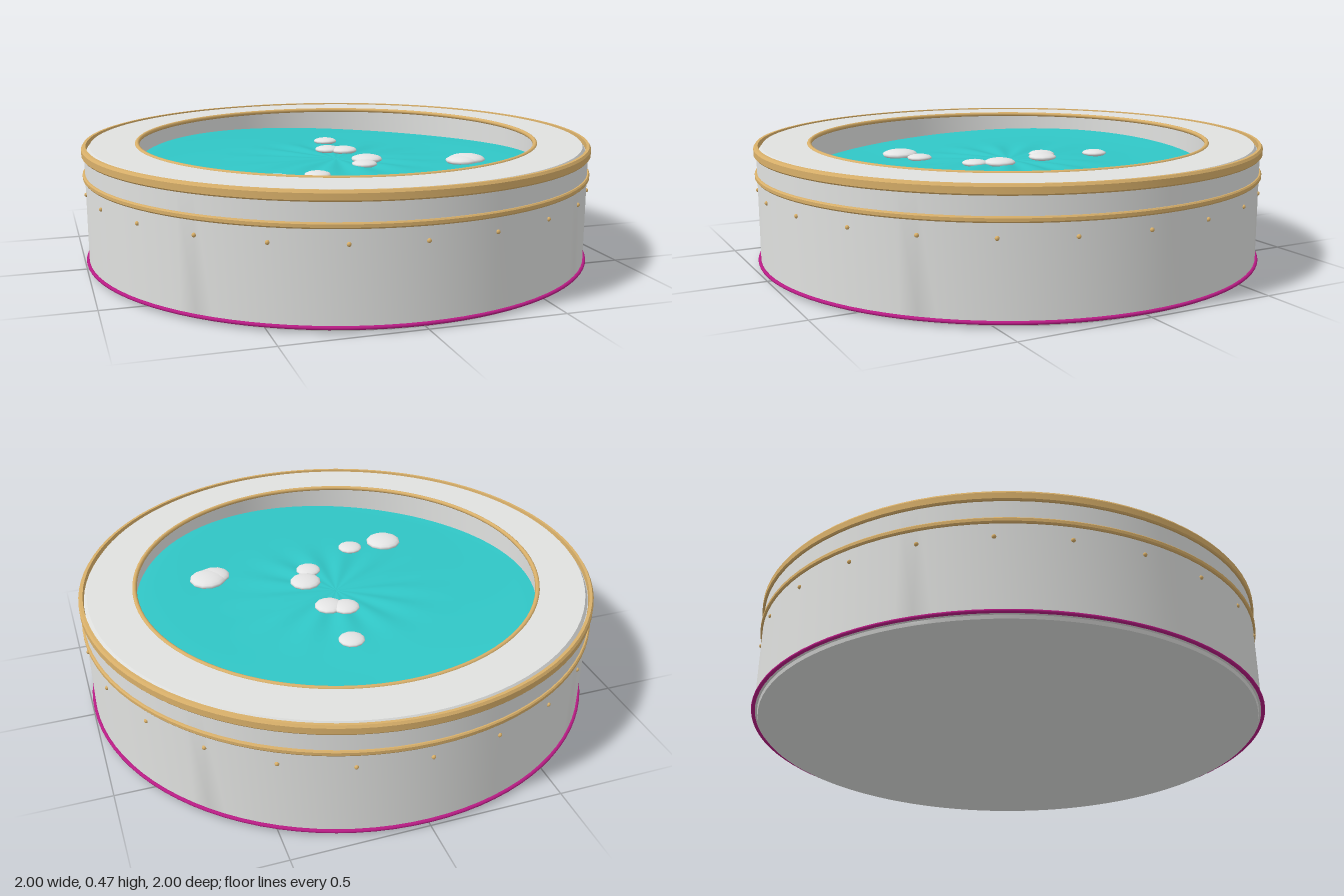
import * as THREE from 'three';
import { toCreasedNormals } from 'three/addons/utils/BufferGeometryUtils.js';

const paint = (name, color) => {
  const m = new THREE.MeshStandardMaterial({ color });
  m.name = name;
  return m;
};

// Water height: gentle two-fold swell, with radial ripples around the middle
function waterHeight(x, z) {
  const r = Math.hypot(x, z), a = Math.atan2(x, z);
  const swell = 0.02 * Math.cos(2 * (a - 0.75)) * Math.min(1, r / 0.75) ** 2;
  const ripple = 0.004 * Math.sin(13 * a + 0.6) * Math.exp(-(((r - 0.25) / 0.14) ** 2));
  return 0.378 + swell + ripple + 0.003 * Math.sin(9 * r + 2 * x);
}

export function createModel() {
  const white = paint('whiteShell', 0xe0e1df);
  const gold = paint('goldTrim', 0xd9b06a);
  const teal = paint('turquoiseWater', 0x30c6c6);
  const magenta = paint('magentaGlow', 0xb81c84);
  const foamWhite = paint('foamWhite', 0xe4e4e4);
  const group = new THREE.Group();

  const add = (name, geometry, material, parent = group) => {
    const mesh = new THREE.Mesh(geometry, material);
    mesh.name = name;
    parent.add(mesh);
    return mesh;
  };
  const lathe = (points) => toCreasedNormals(
    new THREE.LatheGeometry(points.map(([x, y]) => new THREE.Vector2(x, y)), 96), 0.5);
  const ring = (name, radius, tube, y, material) => {
    const mesh = add(name, new THREE.TorusGeometry(radius, tube, 10, 96), material);
    mesh.rotation.x = Math.PI / 2;
    mesh.position.y = y;
    return mesh;
  };

  // Shell: base, outer wall, deck with a bevelled edge, and inner wall
  add('shell', lathe([
    [0, 0.003], [0.972, 0.003], [0.976, 0.015], [0.988, 0.018], [0.988, 0.445], [0.976, 0.45],
    [0.966, 0.466], [0.79, 0.466], [0.79, 0.3], [0, 0.3],
  ]), white);

  // Gold trim
  add('rimTrim', lathe([
    [0.975, 0.432], [0.994, 0.432], [0.998, 0.437], [0.998, 0.46],
    [0.992, 0.469], [0.981, 0.469], [0.978, 0.445],
  ]), gold);
  add('sideBand', lathe([
    [0.98, 0.345], [0.993, 0.345], [0.997, 0.35], [0.997, 0.361], [0.993, 0.366], [0.98, 0.366],
  ]), gold);
  ring('innerTrim', 0.787, 0.009, 0.463, gold);

  // Glow strip around the foot
  ring('footStrip', 0.991, 0.008, 0.02, magenta).scale.z = 0.8;

  // Rivets
  const rivets = new THREE.Group();
  rivets.name = 'rivets';
  group.add(rivets);
  const rivet = new THREE.SphereGeometry(0.008, 10, 8);
  for (let i = 0; i < 24; i++) {
    const a = (i / 24) * Math.PI * 2;
    add('rivet', rivet, gold, rivets).position.set(0.988 * Math.sin(a), 0.295, 0.988 * Math.cos(a));
  }

  // Rippled water surface
  const water = new THREE.RingGeometry(0.001, 0.79, 128, 40);
  water.rotateX(-Math.PI / 2);
  const p = water.attributes.position;
  for (let i = 0; i < p.count; i++) p.setY(i, waterHeight(p.getX(i), p.getZ(i)));
  water.computeVertexNormals();
  add('water', water, teal);

  // Floating foam: x, z, radius
  const foam = new THREE.Group();
  foam.name = 'foam';
  group.add(foam);
  const blob = new THREE.SphereGeometry(1, 12, 10);
  [
    [0.065, -0.37, 0.05], [0.01, -0.15, 0.053], [0.07, -0.12, 0.056],
    [0.1, 0.09, 0.062], [0.06, 0.18, 0.05], [-0.17, 0.315, 0.05],
    [-0.33, 0.335, 0.073], [0.47, 0.23, 0.073], [0.44, 0.25, 0.064],
  ].forEach(([x, z, r]) => {
    const mesh = add('foamBlob', blob, foamWhite, foam);
    mesh.position.set(x, waterHeight(x, z) + 0.008, z);
    mesh.scale.set(r, r * 0.28, r);
  });

  return group;
}
